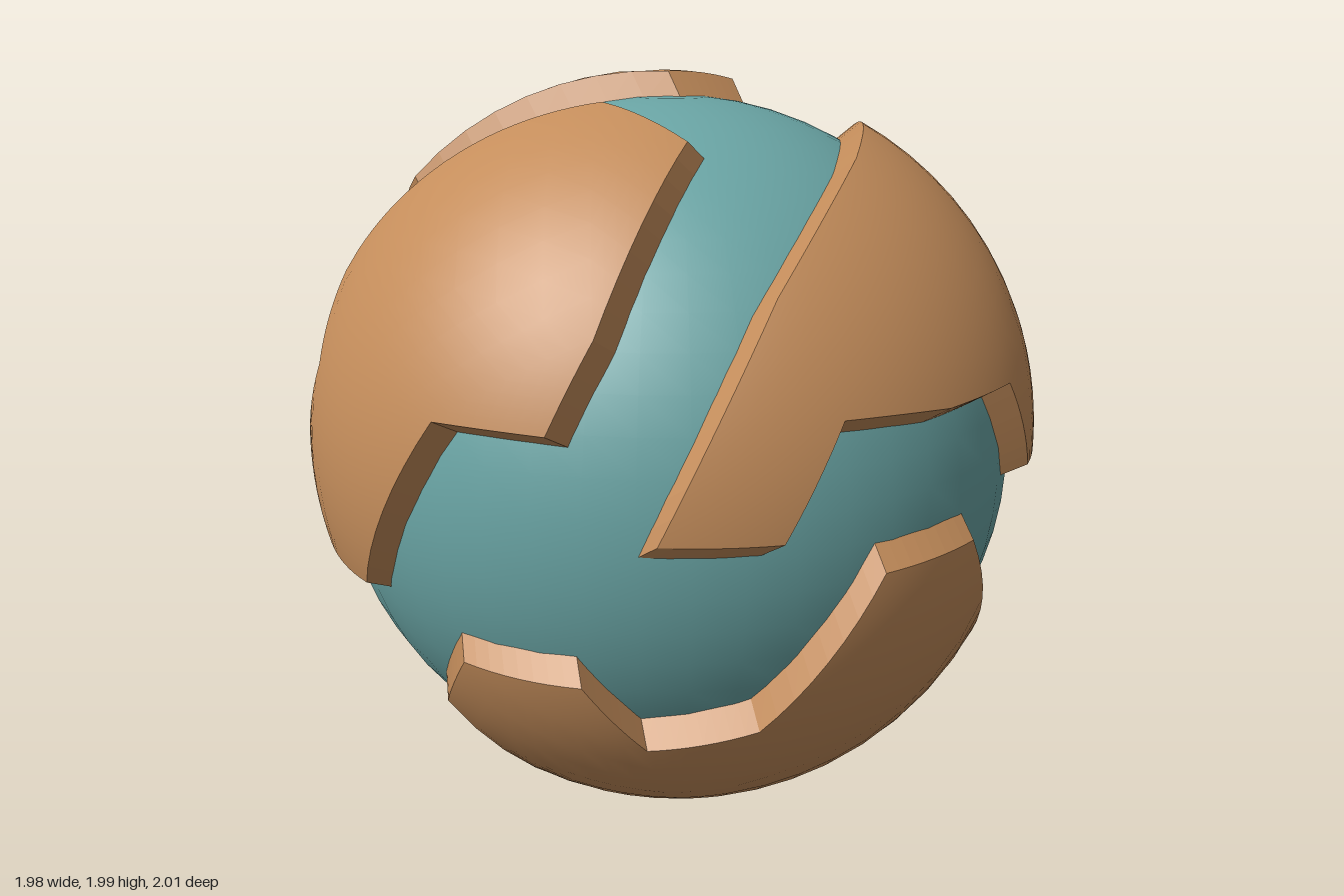
import * as THREE from 'three';

const R = 0.93;      // ocean radius
const LIFT = 0.08;   // how far the land stands out
const LEVELS = 3;    // subdivisions of each land triangle

const water = new THREE.MeshStandardMaterial({ color: 0x6aa5a5 });
water.name = 'teal water';
const land = new THREE.MeshStandardMaterial({ color: 0xc48d5b });
land.name = 'brown land';

// Unit direction from longitude (0 is the front, 90 is +x) and latitude in degrees
function direction([lon, lat]) {
  const rad = Math.PI / 180;
  return new THREE.Vector3().setFromSphericalCoords(1, (90 - lat) * rad, lon * rad);
}

const middle = (a, b) => a.clone().add(b).normalize();

// Great-circle edge as a chain of directions
function arc(a, b, level) {
  if (level === 0) return [a, b];
  const m = middle(a, b);
  return [...arc(a, m, level - 1), ...arc(m, b, level - 1).slice(1)];
}

// A patch of the globe, outlined counterclockwise, pushed straight out along its mean normal
function landPlate(name, corners) {
  const dirs = corners.map(direction);
  const next = (i) => dirs[(i + 1) % dirs.length];
  const axis = new THREE.Vector3();
  dirs.forEach((d, i) => axis.add(d.clone().cross(next(i))));
  axis.normalize();
  const shift = axis.clone().multiplyScalar(LIFT);
  const raise = (d) => d.clone().multiplyScalar(R).add(shift);

  const positions = [], normals = [];
  const put = (p, n) => {
    positions.push(p.x, p.y, p.z);
    normals.push(n.x, n.y, n.z);
  };

  // Curved top, smooth shaded
  const cap = (a, b, c, level) => {
    if (level === 0) {
      [a, b, c].forEach((d) => put(raise(d), d));
      return;
    }
    const ab = middle(a, b), bc = middle(b, c), ca = middle(c, a);
    cap(a, ab, ca, level - 1);
    cap(ab, b, bc, level - 1);
    cap(ca, bc, c, level - 1);
    cap(ab, bc, ca, level - 1);
  };

  // Triangulate on a plane across the axis, where great circles become straight lines
  const u = new THREE.Vector3(1, 0, 0).cross(axis).normalize();
  const v = axis.clone().cross(u);
  const flat = dirs.map((d) => new THREE.Vector2(d.dot(u), d.dot(v)).divideScalar(d.dot(axis)));
  for (const [i, j, k] of THREE.ShapeUtils.triangulateShape(flat, [])) {
    cap(dirs[i], dirs[j], dirs[k], LEVELS);
  }

  // Straight walls down into the water, flat shaded
  dirs.forEach((d, i) => {
    const chain = arc(d, next(i), LEVELS);
    for (let k = 0; k + 1 < chain.length; k++) {
      const a = chain[k].clone().multiplyScalar(R - 0.01);
      const b = chain[k + 1].clone().multiplyScalar(R - 0.01);
      const c = raise(chain[k + 1]), e = raise(chain[k]);
      const n = b.clone().sub(a).cross(shift).normalize();
      [a, b, c, a, c, e].forEach((p) => put(p, n));
    }
  });

  const geometry = new THREE.BufferGeometry();
  geometry.setAttribute('position', new THREE.Float32BufferAttribute(positions, 3));
  geometry.setAttribute('normal', new THREE.Float32BufferAttribute(normals, 3));
  const mesh = new THREE.Mesh(geometry, land);
  mesh.name = name;
  return mesh;
}

export function createModel() {
  const globe = new THREE.Group();
  globe.name = 'globe';
  globe.position.y = 1;

  const ocean = new THREE.Mesh(new THREE.SphereGeometry(R, 48, 32), water);
  ocean.name = 'ocean';
  globe.add(ocean);

  // Land outlines as [longitude, latitude] corners
  globe.add(landPlate('frontLand', [
    [16, 73], [-18, 60], [-36, 30], [-27, 16], [-34, -1], [-26, -14],
    [-8, -14], [10, 15], [28, 15], [34, 28], [53, 61]]));

  globe.add(landPlate('topLand', [
    [77, 87], [158, 76], [-162, 64], [-127, 58], [-127, 28], [-118, 15], [-79, 16], [-52, 44]]));

  globe.add(landPlate('backLand', [
    [164, 44], [151, 13], [139, -3], [126, -26], [127, -43], [157, -44],
    [168, -29], [-148, -27], [-127, 3], [-142, 32], [-149, 47], [-176, 46]]));

  globe.add(landPlate('leftUpperLand', [
    [37, 0], [54, 0], [63, 16], [82, 15], [100, 15], [108, 0],
    [126, 0], [140, 24], [157, 39], [161, 57], [88, 55], [55, 33]]));

  globe.add(landPlate('leftLowerLand', [
    [91, 0], [72, 0], [55, -25], [37, -29], [28, -16], [8, -16], [-3, -29], [54, -75], [110, -26]]));

  globe.add(landPlate('rightLowerLand', [
    [-109, -2], [-116, -22], [-107, -34], [-85, -74], [-18, -76],
    [-18, -58], [-46, -44], [-54, -32], [-44, -16], [-53, 0]]));

  globe.add(landPlate('bottomLand', [
    [-122, -59], [-120, -39], [-127, -33], [-139, -45], [-158, -40], [178, -43], [118, -77], [-108, -88]]));

  const model = new THREE.Group();
  model.name = 'planet';
  model.add(globe);
  return model;
}
